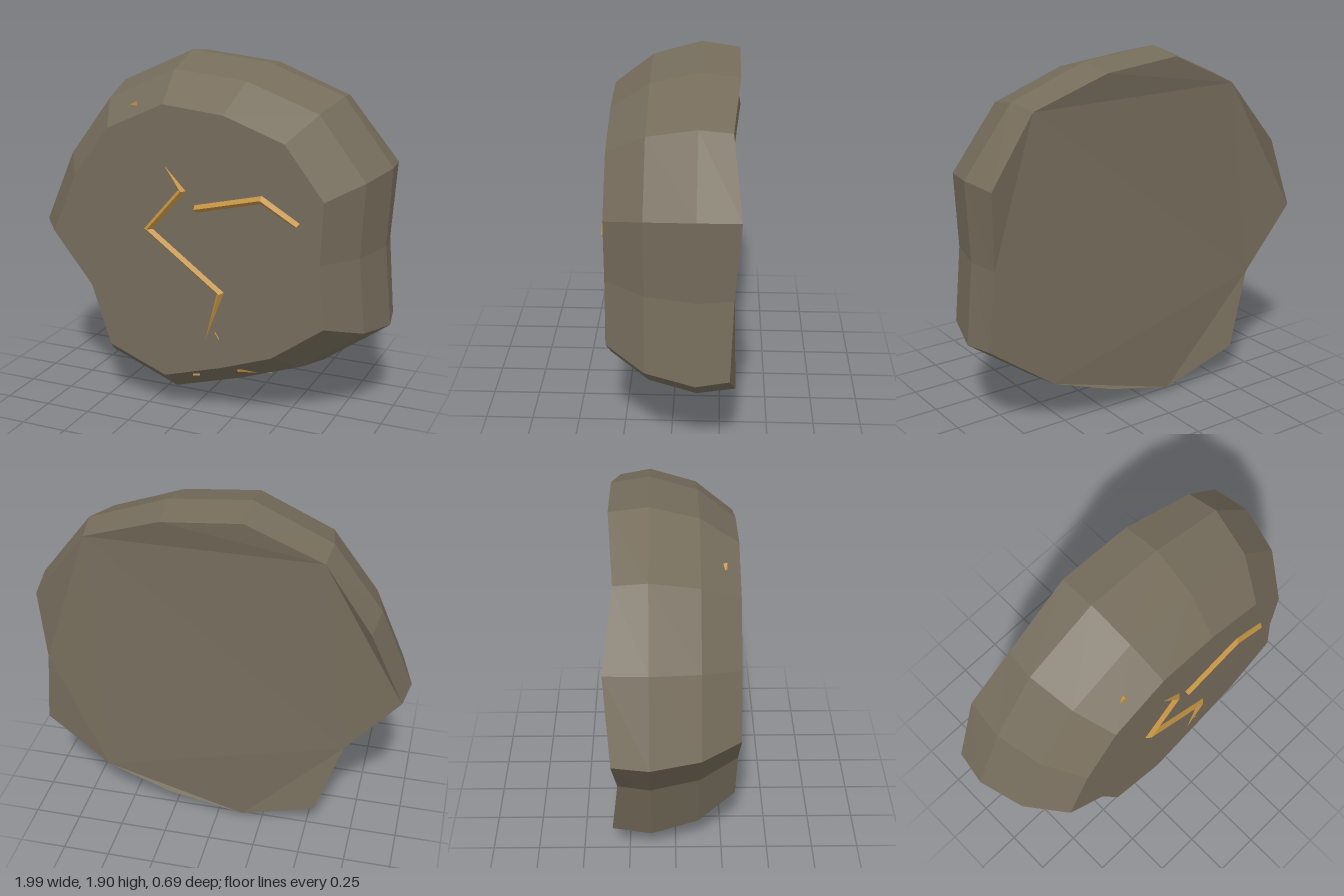
import * as THREE from 'three';

const stone = new THREE.MeshStandardMaterial({ color: 0x756c5b });
stone.name = 'stone';
const gold = new THREE.MeshStandardMaterial({ color: 0xc09040 });
gold.name = 'gold';

// Widest outline, clockwise from the top: x, y and the z of the back rim
const outline = [
  [-0.15, 1.91, -0.33], [0.28, 1.87, -0.33], [0.70, 1.72, -0.295], [0.97, 1.37, -0.34],
  [0.95, 0.95, -0.31], [0.99, 0.52, -0.295], [0.63, 0.26, -0.33], [0.27, 0.13, -0.34],
  [-0.15, 0.005, -0.295], [-0.57, 0.17, -0.34], [-0.71, 0.59, -0.30], [-1.0, 0.95, -0.315],
  [-0.82, 1.37, -0.35], [-0.56, 1.72, -0.30],
];

// Separate triangles give flat facets
function facetMesh(name, triangles, material) {
  const geometry = new THREE.BufferGeometry().setFromPoints(triangles);
  geometry.computeVertexNormals();
  const mesh = new THREE.Mesh(geometry, material);
  mesh.name = name;
  return mesh;
}

function quad(out, a, b, c, d) {
  out.push(a, b, c, a, c, d);
}

// Slab: four scaled rings from front to back, closed by flat caps
function makeSlab() {
  const n = outline.length;
  const levels = [[0.775, 0.32], [0.93, 0.12], [1, -0.13], [0.97, null]];
  const rings = levels.map(([s, z]) => outline.map(([x, y, backZ]) =>
    new THREE.Vector3(x * s, 0.95 + (y - 0.95) * s, z ?? backZ)));
  const triangles = [];
  for (let k = 0; k < rings.length - 1; k++) {
    for (let i = 0; i < n; i++) {
      const j = (i + 1) % n;
      quad(triangles, rings[k][i], rings[k][j], rings[k + 1][j], rings[k + 1][i]);
    }
  }
  const cap = (ring, facing) => {
    const flat = ring.map(p => new THREE.Vector2(p.x, p.y));
    for (const [a, b, c] of THREE.ShapeUtils.triangulateShape(flat, [])) {
      const turn = THREE.ShapeUtils.area([flat[a], flat[b], flat[c]]);
      if (turn * facing > 0) triangles.push(ring[a], ring[b], ring[c]);
      else triangles.push(ring[a], ring[c], ring[b]);
    }
  };
  cap(rings[0], 1);
  cap(rings[3], -1);
  return facetMesh('stoneSlab', triangles, stone);
}

// Vein: a triangular ridge along a path; each point is x, y, z, width, height
function makeVein(name, path, up = new THREE.Vector3(0, 0, 1)) {
  const points = path.map(p => new THREE.Vector3(p[0], p[1], p[2]));
  const sideOf = (a, b) => up.clone().cross(b.clone().sub(a)).normalize();
  const sections = points.map((p, i) => {
    const before = sideOf(points[Math.max(i - 1, 0)], points[Math.max(i, 1)]);
    const last = points.length - 1;
    const after = sideOf(points[Math.min(i, last - 1)], points[Math.min(i + 1, last)]);
    const side = before.clone().add(after).normalize();
    side.multiplyScalar(path[i][3] / 2 / Math.max(side.dot(after), 0.5));
    return [p.clone().add(side), p.clone().addScaledVector(up, path[i][4]), p.clone().sub(side)];
  });
  const triangles = [];
  for (let i = 0; i < sections.length - 1; i++) {
    const [l0, t0, r0] = sections[i];
    const [l1, t1, r1] = sections[i + 1];
    quad(triangles, l0, t0, t1, l1);
    quad(triangles, t0, r0, r1, t1);
    quad(triangles, r0, l0, l1, r1);
  }
  const [l, t, r] = sections[0];
  const [le, te, re] = sections[sections.length - 1];
  triangles.push(l, r, t, le, te, re);
  return facetMesh(name, triangles, gold);
}

export function createModel() {
  const group = new THREE.Group();
  group.name = 'crackedStone';
  group.add(makeSlab());

  // Veins on the front face
  group.add(makeVein('longVein', [
    [-0.10, 1.37, 0.317, 0.006, 0.008], [-0.01, 1.255, 0.317, 0.04, 0.025],
    [-0.205, 1.03, 0.317, 0.04, 0.025], [0.205, 0.73, 0.317, 0.04, 0.025],
    [0.12, 0.46, 0.317, 0.005, 0.004],
  ]));
  group.add(makeVein('shortVein', [
    [0.065, 1.168, 0.317, 0.045, 0.025], [0.425, 1.255, 0.317, 0.045, 0.025],
    [0.62, 1.142, 0.317, 0.04, 0.025],
  ]));
  group.add(makeVein('frontChip', [
    [0.175, 0.51, 0.317, 0.015, 0.006], [0.197, 0.475, 0.317, 0.012, 0.006],
  ]));

  // Slivers showing through the rim
  group.add(makeVein('upperChip', [
    [-0.33, 1.655, 0.245, 0.006, 0.012], [-0.295, 1.668, 0.24, 0.035, 0.02],
  ], new THREE.Vector3(-0.25, 0.75, 0.6).normalize()));
  const below = new THREE.Vector3(0.25, -0.8, 0.5).normalize();
  group.add(makeVein('lowerSliver', [
    [0.28, 0.29, 0.25, 0.025, 0.012], [0.40, 0.228, 0.07, 0.008, 0.01],
  ], below));
  group.add(makeVein('lowerChip', [
    [0.035, 0.24, 0.29, 0.012, 0.012], [0.07, 0.24, 0.275, 0.012, 0.012],
  ], below));
  return group;
}
